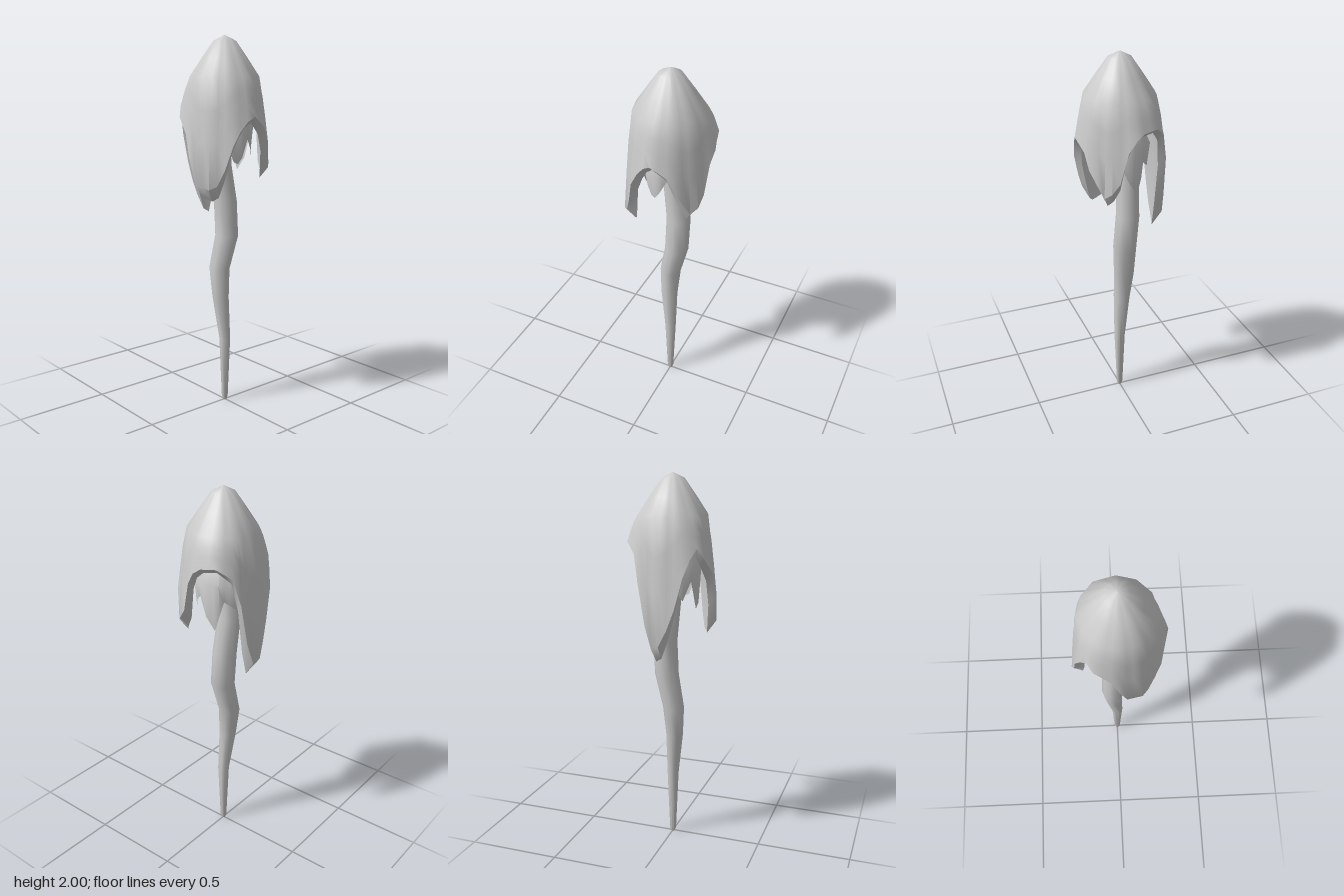
import * as THREE from 'three';
import { toCreasedNormals } from 'three/addons/utils/BufferGeometryUtils.js';

const STEPS = 36;

// Skin a stack of rings; point(ring, angleInDegrees) returns [x, y, z]
function loft(rings, sides, point) {
  const pos = [], index = [];
  for (let i = 0; i < rings; i++) {
    for (let j = 0; j < sides; j++) pos.push(...point(i, (j * 360) / sides));
  }
  for (let i = 0; i < rings - 1; i++) {
    for (let j = 0; j < sides; j++) {
      const a = i * sides + j, b = i * sides + ((j + 1) % sides);
      index.push(a, b, a + sides, b, b + sides, a + sides);
    }
  }
  const g = new THREE.BufferGeometry();
  g.setAttribute('position', new THREE.Float32BufferAttribute(pos, 3));
  g.setIndex(index);
  return toCreasedNormals(g, 0.9);
}

// Piecewise-linear lookup in [angle, value] pairs
function lookup(keys, deg) {
  for (let i = 1; i < keys.length; i++) {
    const [a0, v0] = keys[i - 1], [a1, v1] = keys[i];
    if (deg <= a1) return v0 + ((v1 - v0) * (deg - a0)) / (a1 - a0);
  }
  return keys[keys.length - 1][1];
}

// Polar point with a twelve-sided outline
function polar(r, y, deg) {
  const k = Math.cos(Math.PI / 12) / Math.cos((((deg % 30) - 15) * Math.PI) / 180);
  const a = (deg * Math.PI) / 180;
  return [r * k * Math.cos(a), y, r * k * Math.sin(a)];
}

// Ragged hem height around the cap: three long lobes and three notches
const HEM = [[0, 1.56], [15, 1.52], [30, 1.4], [40, 1.27], [50, 1.18], [60, 1.16], [80, 1.18],
  [90, 1.33], [100, 1.46], [120, 1.55], [130, 1.61], [140, 1.55], [150, 1.45], [160, 1.28],
  [170, 1.16], [180, 1.07], [190, 1.05], [200, 1.18], [210, 1.42], [220, 1.57], [240, 1.63],
  [260, 1.62], [270, 1.59], [280, 1.52], [290, 1.35], [300, 1.29], [310, 1.26], [320, 1.33],
  [330, 1.41], [340, 1.5], [360, 1.56]];

// Inner veil hem, with points hanging inside the notches
const VEIL = [[0, 1.38], [15, 1.33], [40, 1.46], [70, 1.4], [100, 1.31], [120, 1.46],
  [140, 1.36], [170, 1.46], [200, 1.4], [230, 1.45], [250, 1.29], [270, 1.36],
  [290, 1.46], [320, 1.38], [340, 1.47], [360, 1.38]];

function capPoint(i, deg) {
  const dome = [[0, 2], [0.06, 1.97], [0.12, 1.885], [0.184, 1.79]];
  if (i < dome.length) return polar(dome[i][0], dome[i][1], deg);
  const hem = lookup(HEM, deg);
  const depth = (1.64 - hem) / 0.59; // 0 in a notch, 1 at the longest tip
  const edge = hem + 0.025 + 0.05 * depth;
  const outer = [0.3, 0.6, 1];
  if (i < 7) {
    const t = outer[i - 4];
    return polar(0.184 + 0.054 * Math.pow(t, 0.75), 1.79 + (edge - 1.79) * t, deg);
  }
  // rim, inner wall and ceiling
  const inner = [[0.207 - 0.025 * depth, hem], [0.2, hem + (1.68 - hem) * 0.5],
    [0.16, 1.68], [0.03, 1.66]];
  return polar(inner[i - 7][0], inner[i - 7][1], deg);
}

export function createModel() {
  const model = new THREE.Group();
  const add = (name, geometry, side = THREE.FrontSide) => {
    const mesh = new THREE.Mesh(geometry,
      new THREE.MeshStandardMaterial({ color: 0xcccccc, side }));
    mesh.name = name;
    model.add(mesh);
  };

  // Ragged bell-shaped cap
  add('cap', loft(11, STEPS, capPoint), THREE.DoubleSide);

  // Torn veil hanging under the cap
  add('innerVeil', loft(3, STEPS, (i, deg) => {
    const tip = lookup(VEIL, deg);
    return polar([0.09, 0.155, 0.14][i], [1.66, 1.54, tip][i], deg);
  }), THREE.DoubleSide);

  // Crooked tapering stem: x, y, z, radius from top to foot
  const stem = [[-0.02, 1.67, 0, 0.05], [-0.035, 1.5, 0, 0.055], [-0.042, 1.33, -0.006, 0.06],
    [-0.033, 1.13, -0.032, 0.064], [-0.018, 0.94, -0.029, 0.064], [-0.03, 0.76, 0.013, 0.057],
    [-0.018, 0.6, 0.015, 0.046], [0, 0.36, 0, 0.031], [0, 0.02, 0, 0.017],
    [0, 0, 0, 0.01], [0, 0, 0, 0]];
  add('stem', loft(stem.length, 10, (i, deg) => {
    const [x, y, z, r] = stem[i], a = (deg * Math.PI) / 180;
    return [x + r * Math.cos(a), y, z + r * Math.sin(a)];
  }));

  return model;
}
